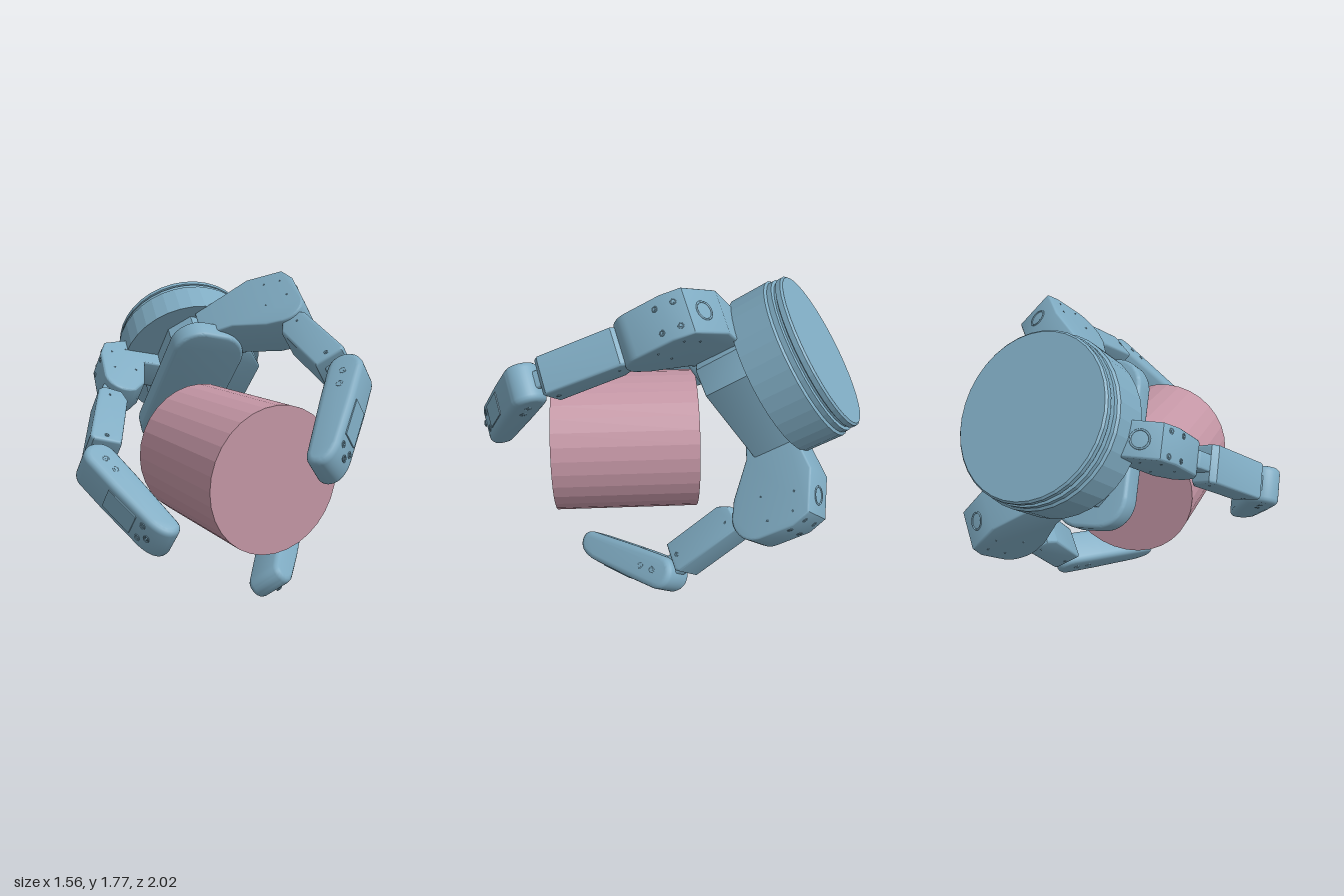
import * as THREE from 'three';
import { toCreasedNormals } from 'three/addons/utils/BufferGeometryUtils.js';

const V3 = (x, y, z) => new THREE.Vector3(x, y, z);
const metal = new THREE.MeshStandardMaterial({ color: 0x7fabc2 });
const metalFlat = new THREE.MeshStandardMaterial({ color: 0x7fabc2, flatShading: true });
const pink = new THREE.MeshStandardMaterial({ color: 0xc496a5, flatShading: true });

const AXIS = V3(-0.22, -0.55, 0.81).normalize(); // from the mounting disc towards the grip
const BASE = V3(0.274, 1.363, -0.765);           // centre of the disc's back face

function add(parent, name, geometry, material = metal) {
  const mesh = new THREE.Mesh(geometry, material);
  mesh.name = name;
  parent.add(mesh);
  return mesh;
}

// Outline extruded along z, centred, with rounded edges
function slab(shape, width, bevel) {
  const g = new THREE.ExtrudeGeometry(shape, {
    depth: width - 2 * bevel, bevelEnabled: true, bevelThickness: bevel,
    bevelSize: bevel, bevelOffset: -bevel, bevelSegments: 3, curveSegments: 10,
  });
  g.translate(0, 0, -width / 2 + bevel);
  return toCreasedNormals(g, 0.6);
}

const polygon = (pts) => new THREE.Shape(pts.map(([x, y]) => new THREE.Vector2(x, y)));

function roundedRect(x0, y0, x1, y1, r) {
  const s = new THREE.Shape();
  s.absarc(x1 - r, y0 + r, r, -Math.PI / 2, 0);
  s.absarc(x1 - r, y1 - r, r, 0, Math.PI / 2);
  s.absarc(x0 + r, y1 - r, r, Math.PI / 2, Math.PI);
  s.absarc(x0 + r, y0 + r, r, Math.PI, Math.PI * 1.5);
  return s;
}

// Small ring with a hexagonal head, turned towards "facing"
function screw(parent, x, y, z, r, facing) {
  const g = new THREE.Group();
  g.name = 'screw';
  g.position.set(x, y, z);
  g.quaternion.setFromUnitVectors(V3(0, 0, 1), facing.normalize());
  add(g, 'screwRim', new THREE.TorusGeometry(r, r * 0.25, 6, 16));
  add(g, 'screwHead', new THREE.CylinderGeometry(r * 0.5, r * 0.5, 0.008, 6).rotateX(Math.PI / 2));
  parent.add(g);
}

// Group whose x runs from one point of the finger plane to another; y faces inwards
function link(parent, name, [x0, y0], [x1, y1]) {
  const g = new THREE.Group();
  g.name = name;
  g.position.set(x0, y0, 0);
  g.rotation.z = Math.atan2(y1 - y0, x1 - x0);
  g.userData.length = Math.hypot(x1 - x0, y1 - y0);
  parent.add(g);
  return g;
}

// Right-angled frame: "outward" made square to the axis, and the direction across
function frame(outward, axis) {
  const o = outward.clone().addScaledVector(axis, -outward.dot(axis)).normalize();
  return [o, o.clone().cross(axis)];
}

// Finger plane: x outwards, y along the axis, z across the finger.
// inner: inner edge of the proximal link; shift: its offset; bend: extra curl of the tip
function finger(name, { knuckle, outward, inner, axis = AXIS, shift = [0, 0], width = 0.23, bend = 0 }) {
  const [o, w] = frame(outward, axis);
  const f = new THREE.Group();
  f.name = name;
  f.applyMatrix4(new THREE.Matrix4().makeBasis(o, axis, w).setPosition(knuckle));

  // Bent proximal link with a rounded front end
  const prox = new THREE.Group();
  prox.name = 'proximalLink';
  prox.position.set(shift[0], shift[1], 0);
  f.add(prox);
  const arm = new THREE.Shape();
  arm.moveTo(-0.6, -0.05);
  arm.lineTo(-0.24, -0.1);
  arm.lineTo(-0.035, -0.02);
  arm.lineTo(0, 0.08);
  arm.lineTo(0, 0.27);
  arm.absarc(-0.12, 0.27, 0.12, 0, Math.PI * 0.65);
  for (const [x, y] of inner) arm.lineTo(x, y);
  add(prox, 'proximalBody', slab(arm, width, 0.012));
  const hole = add(prox, 'pivotHole', new THREE.TorusGeometry(0.045, 0.005, 6, 24));
  hole.position.set(-0.13, -0.057, 0);
  hole.quaternion.setFromUnitVectors(V3(0, 0, 1), V3(0.36, -0.93, 0).normalize());
  for (const s of [-1, 1]) {
    screw(prox, -0.018, 0.03, s * 0.06, 0.012, V3(0.94, -0.33, 0));
    screw(prox, 0, 0.12, s * 0.06, 0.012, V3(1, 0, 0));
    for (const [x, y] of [[-0.07, 0.06], [-0.16, 0.02], [-0.07, 0.2], [-0.2, 0.2]])
      screw(prox, x, y, s * width / 2, 0.005, V3(0, 0, s));
  }

  // Middle link: chamfered box with a tongue at each end
  const mid = link(f, 'middleLink', [-0.115, 0.37], [-0.01, 0.795]);
  const L = mid.userData.length;
  add(mid, 'middleBody', slab(polygon([[0, -0.06], [0.03, -0.085], [L - 0.02, -0.085], [L, -0.065],
    [L - 0.02, 0.085], [0.06, 0.085], [0, 0.045]]), 0.2, 0.015));
  add(mid, 'jointTongue', slab(roundedRect(-0.12, -0.06, L + 0.14, 0.05, 0.05), 0.09, 0.01));
  for (const s of [-1, 1]) {
    screw(mid, L - 0.05, 0, s * 0.1, 0.01, V3(0, 0, s));
    screw(mid, 0.06, -0.02, s * 0.1, 0.006, V3(0, 0, s));
  }

  // Fingertip: round knuckle tapering to a blunt nose
  const tip = link(f, 'fingertip', [0.035, 0.875], [-0.265, 1.365]);
  tip.rotation.z += bend;
  const T = tip.userData.length;
  const nose = new THREE.Shape();
  nose.absarc(0.02, 0, 0.09, Math.PI / 2, Math.PI * 1.5);
  nose.lineTo(0.2, -0.085);
  nose.lineTo(T - 0.1, -0.067);
  nose.quadraticCurveTo(T + 0.01, -0.05, T + 0.015, 0.02);
  nose.quadraticCurveTo(T + 0.015, 0.075, T - 0.04, 0.082);
  nose.lineTo(0.2, 0.09);
  add(tip, 'fingertipBody', slab(nose, 0.205, 0.03));
  const panel = add(tip, 'outerPanel', new THREE.BoxGeometry(0.2, 0.012, 0.12));
  panel.position.set(0.3, -0.078, 0);
  panel.rotation.z = 0.06;
  for (const [x, z] of [[0.45, -0.045], [0.45, 0.045], [0.5, 0]])
    screw(tip, x, -0.068, z, 0.015, V3(0.1, -1, 0));
  for (const s of [-1, 1])
    for (const x of [0.05, 0.13]) screw(tip, x, 0, s * 0.1, 0.016, V3(0, 0, s));
  return f;
}

// Disc and palm, built with z along the hand axis and y towards the opposing finger
function hand(outward) {
  const [o, w] = frame(outward, AXIS);
  const g = new THREE.Group();
  g.name = 'hand';
  g.applyMatrix4(new THREE.Matrix4().makeBasis(w, o, AXIS).setPosition(BASE));
  const rim = [[0, 0], [0.41, 0], [0.42, 0.01], [0.42, 0.035], [0.408, 0.04], [0.408, 0.05],
    [0.425, 0.055], [0.425, 0.08], [0.437, 0.09], [0.437, 0.29], [0, 0.29]];
  const disc = new THREE.LatheGeometry(rim.map(([r, y]) => new THREE.Vector2(r, y)), 36);
  add(g, 'mountingDisc', disc.rotateX(Math.PI / 2), metalFlat);
  const body = polygon([[-0.34, -0.2], [-0.24, -0.3], [0.24, -0.3], [0.34, -0.2], [0.34, 0.14], [0.22, 0.24],
    [-0.22, 0.24], [-0.34, 0.14]]);
  add(g, 'palmBody', slab(body, 0.3, 0.01)).position.z = 0.39;
  add(g, 'palmPlate', slab(roundedRect(-0.445, -0.14, 0.445, 0.29, 0.16), 0.12, 0.02)).position.z = 0.53;
  return g;
}

export function createModel() {
  const model = new THREE.Group();
  model.name = 'gripper';
  const opposing = V3(-0.975, 0.19, -0.135);
  const sloped = [[-0.24, 0.35], [-0.42, 0.22], [-0.6, 0.17]];
  const stepped = [[-0.24, 0.3], [-0.27, 0.12], [-0.6, 0.12]];
  model.add(hand(opposing));
  model.add(finger('upperFinger', {
    knuckle: V3(0.611, 1.7, -0.015), outward: V3(0.72, 0.47, 0.52), inner: sloped,
    axis: V3(-0.25, -0.518, 0.823).normalize(),
  }));
  model.add(finger('lowerFinger', {
    knuckle: V3(0.676, 0.654, -0.669), outward: V3(0.81, -0.57, -0.17), inner: sloped,
    shift: [0.07, -0.01], bend: 0.08,
  }));
  model.add(finger('opposingFinger', {
    knuckle: V3(-0.47, 1.27, -0.65), outward: opposing, inner: stepped, shift: [-0.08, -0.04], width: 0.18,
  }));

  // Gripped cylinder
  const can = add(model, 'heldCylinder', new THREE.CylinderGeometry(0.386, 0.386, 0.775, 32).rotateX(Math.PI / 2), pink);
  can.position.set(0.037, 0.75, 0.2475);
  return model;
}
